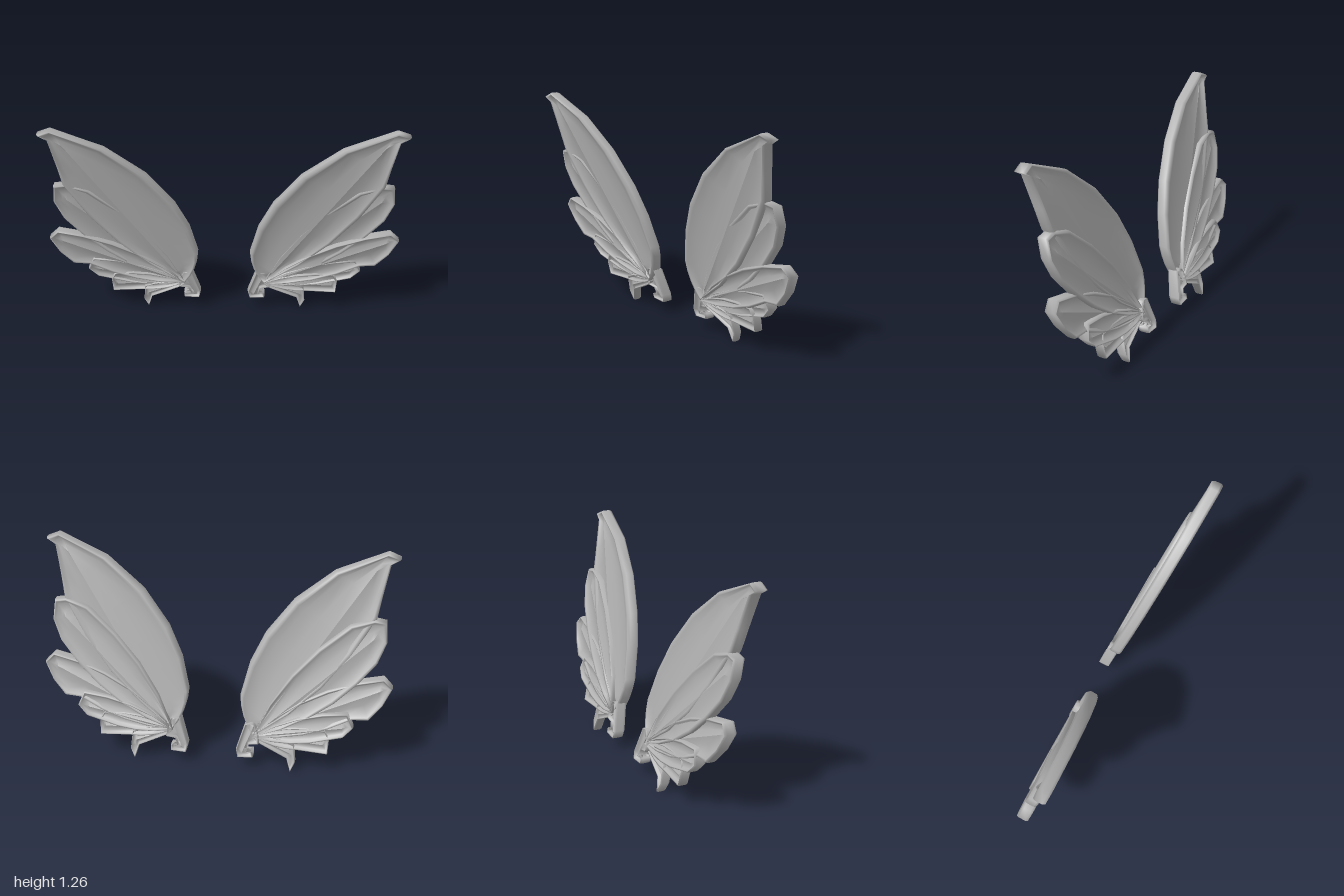
import * as THREE from 'three';

const v = (x, y) => new THREE.Vector2(x, y);
const ROOT = [0.23, 0.2];

// Each leaf fans from a root to a vein tip; rim lists only its free edge, clockwise.
// z is its depth offset and k its thickness factor.
const upperFeather = { tip: [0.86, 1.17], z: 0.002, k: 1,
  rim: [[0.15, 0.43], [0.195, 0.615], [0.275, 0.785], [0.425, 0.98], [0.64, 1.15],
    [0.92, 1.265], [0.985, 1.24], [0.935, 1.21], [0.9, 1.03], [0.88, 0.91]] };
const middleFeather = { tip: [0.87, 0.8], z: -0.008, k: 0.95,
  rim: [[0.74, 0.87], [0.87, 0.91], [0.935, 0.9], [0.945, 0.79], [0.9, 0.67], [0.8, 0.545]] };
const lowerFeather = { tip: [0.92, 0.51], z: 0.002, k: 1,
  rim: [[0.8, 0.555], [0.945, 0.585], [0.995, 0.535], [0.945, 0.43], [0.875, 0.345], [0.785, 0.34]] };
const scallopFeather = { tip: [0.73, 0.29], z: -0.008, k: 0.95,
  rim: [[0.76, 0.38], [0.795, 0.3], [0.74, 0.24], [0.665, 0.22]] };
const lowestFeather = { tip: [0.63, 0.18], z: 0, k: 0.85,
  rim: [[0.64, 0.27], [0.665, 0.22], [0.66, 0.13], [0.49, 0.14]] };
const tailSpur = { tip: [0.45, 0.11], z: 0, k: 0.8,
  rim: [[0.47, 0.17], [0.48, 0.06], [0.455, 0.005], [0.43, 0.085], [0.28, 0.155]] };
const rootHook = { root: [0.24, 0.27], tip: [0.175, 0.1], z: -0.01, k: 0.95,
  rim: [[0.27, 0.16], [0.215, 0.155], [0.2, 0.11], [0.24, 0.11], [0.24, 0.08],
    [0.15, 0.075], [0.14, 0.12], [0.185, 0.27]] };
const LEAVES = { upperFeather, middleFeather, lowerFeather, scallopFeather, lowestFeather, tailSpur, rootHook };

// Cross-section from rim to vein: [fraction inward, half thickness]
const SECTION = [[0, 0.02], [0.06, 0.034], [0.14, 0.03], [0.3, 0.014], [0.65, 0.012], [1, 0.024]];

// Side of a leaf between root and free edge, bowed outwards
function bowedSide(from, to) {
  const d = to.clone().sub(from);
  const control = from.clone().lerp(to, 0.5).add(v(-d.y, d.x).multiplyScalar(0.15));
  return new THREE.QuadraticBezierCurve(from, control, to).getPoints(4);
}

function leafGeometry({ root = ROOT, tip, rim, z, k }, side) {
  const base = v(...root);
  const edge = rim.map((p) => v(...p));
  const start = base.clone().lerp(v(...tip), 0.08);
  const vein = v(...tip).sub(start);
  const loop = [
    ...bowedSide(base, edge[0]).slice(0, -1),
    ...edge,
    ...bowedSide(edge[edge.length - 1], base).slice(1, -1),
  ];
  if (side > 0) loop.reverse();

  // Front vein out to the rim, then round to the back vein
  const rows = [...[...SECTION].reverse(), ...SECTION.map(([t, h]) => [t, -h])];
  const n = loop.length;
  const pos = [], index = [];
  rows.forEach(([t, h], r) => {
    loop.forEach((p, i) => {
      const s = THREE.MathUtils.clamp(p.clone().sub(start).dot(vein) / vein.lengthSq(), 0, 1);
      const q = p.clone().lerp(start.clone().addScaledVector(vein, s), t);
      // The wing plane leans forward towards the top
      pos.push(q.x * side, q.y, -0.135 + 0.215 * q.y + z + h * k);
      if (r < rows.length - 1) {
        const A = r * n + i, B = r * n + (i + 1) % n;
        index.push(A, A + n, B, B, A + n, B + n);
      }
    });
  });
  const g = new THREE.BufferGeometry();
  g.setAttribute('position', new THREE.Float32BufferAttribute(pos, 3));
  g.setIndex(index);
  g.computeVertexNormals();
  return g;
}

export function createModel() {
  const model = new THREE.Group();
  model.name = 'wings';
  const grey = new THREE.MeshStandardMaterial({ color: 0xb0b0b0, side: THREE.DoubleSide });
  grey.name = 'wing grey';

  for (const side of [1, -1]) {
    const wing = new THREE.Group();
    wing.name = side > 0 ? 'leftWing' : 'rightWing';
    for (const [name, leaf] of Object.entries(LEAVES)) {
      const mesh = new THREE.Mesh(leafGeometry(leaf, side), grey);
      mesh.name = name;
      wing.add(mesh);
    }
    model.add(wing);
  }
  return model;
}
